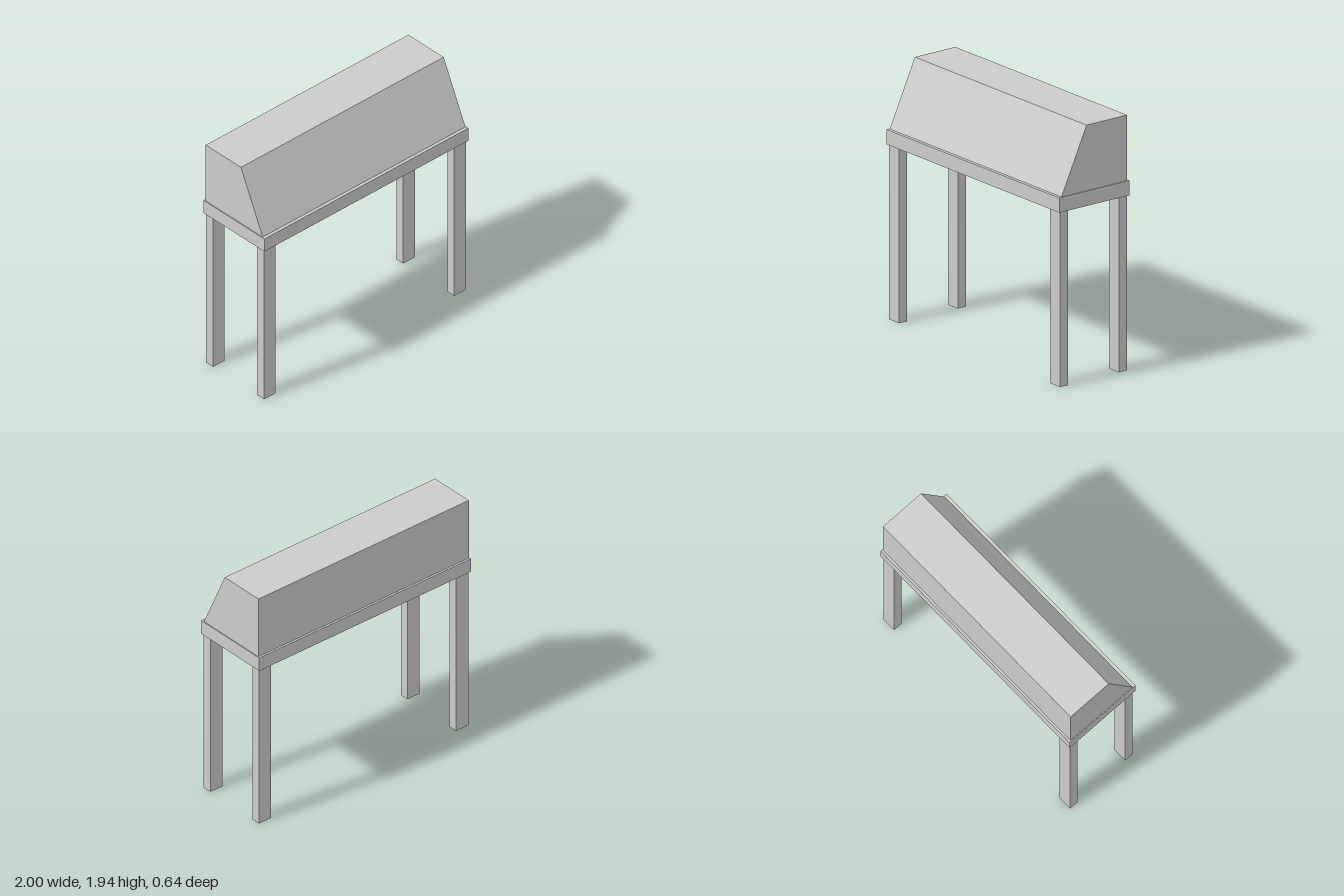
import * as THREE from 'three';

const material = new THREE.MeshStandardMaterial({ color: 0xcccccc, flatShading: true });

function addMesh(parent, name, geometry, x = 0, y = 0, z = 0) {
  const mesh = new THREE.Mesh(geometry, material);
  mesh.name = name;
  mesh.position.set(x, y, z);
  parent.add(mesh);
}

export function createModel() {
  const group = new THREE.Group();
  group.name = 'slopedCabinetOnLegs';

  const legTop = 1.327, slabTop = 1.439, top = 1.936;

  // Four rectangular legs, set just inside the slab corners
  const legGeometry = new THREE.BoxGeometry(0.114, legTop, 0.073);
  for (const [side, sx] of [['Left', 1], ['Right', -1]]) {
    for (const [end, sz] of [['front', 1], ['back', -1]]) {
      addMesh(group, `${end}${side}Leg`, legGeometry, sx * 0.931, legTop / 2, sz * 0.27);
    }
  }

  // Base slab
  addMesh(group, 'baseSlab', new THREE.BoxGeometry(2, slabTop - legTop, 0.645), 0, (legTop + slabTop) / 2, 0);

  // Cabinet: side profile (shape x = -z) with a sloped front, extruded along x
  const profile = new THREE.Shape([
    new THREE.Vector2(-0.297, slabTop),
    new THREE.Vector2(0.306, slabTop),
    new THREE.Vector2(0.306, top),
    new THREE.Vector2(-0.067, top),
  ]);
  const length = 1.986;
  const cabinet = new THREE.ExtrudeGeometry(profile, { depth: length, bevelEnabled: false });
  cabinet.translate(0, 0, -length / 2).rotateY(Math.PI / 2);
  addMesh(group, 'slopedCabinet', cabinet);

  return group;
}
